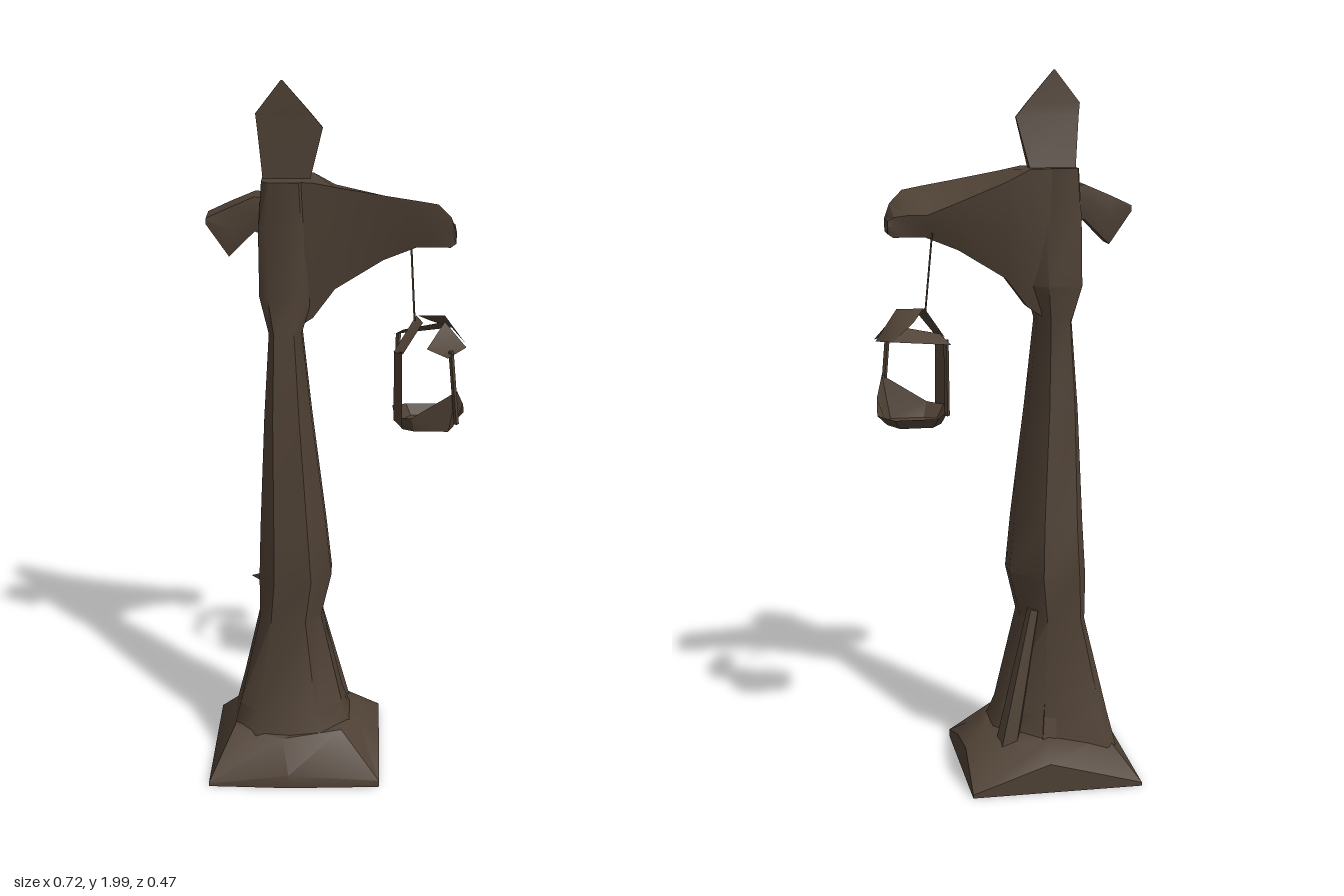
import * as THREE from 'three';
import { toCreasedNormals } from 'three/addons/utils/BufferGeometryUtils.js';

const wood = new THREE.MeshStandardMaterial({ color: 0x4e4034, side: THREE.DoubleSide });
wood.name = 'dark weathered wood';

// Skin a list of equal-length rings (counter-clockwise seen from the end), capped at both ends
function loft(rings, crease = 0.75) {
  const n = rings[0].length, pos = rings.flat(2), index = [];
  for (let r = 0; r < rings.length - 1; r++) {
    for (let i = 0; i < n; i++) {
      const a = r * n + i, b = r * n + (i + 1) % n;
      index.push(a, b, b + n, a, b + n, a + n);
    }
  }
  const last = (rings.length - 1) * n;
  for (let i = 1; i < n - 1; i++) index.push(0, i + 1, i, last, last + i, last + i + 1);
  const g = new THREE.BufferGeometry();
  g.setAttribute('position', new THREE.Float32BufferAttribute(pos, 3));
  g.setIndex(index);
  return toCreasedNormals(g, crease);
}

// Flat polygon in space, fanned from its first corner
function panel(pts) {
  const g = new THREE.BufferGeometry(), index = [];
  for (let i = 1; i < pts.length - 1; i++) index.push(0, i, i + 1);
  g.setAttribute('position', new THREE.Float32BufferAttribute(pts.flat(), 3));
  g.setIndex(index);
  g.computeVertexNormals();
  return g;
}

// Tapered stick between two points
function stick(a, b, r0, r1, sides = 4) {
  const A = new THREE.Vector3(...a), B = new THREE.Vector3(...b), d = B.clone().sub(A);
  const g = new THREE.CylinderGeometry(r1, r0, d.length(), sides);
  g.applyQuaternion(new THREE.Quaternion().setFromUnitVectors(new THREE.Vector3(0, 1, 0), d.normalize()));
  g.translate(...A.add(B).multiplyScalar(0.5).toArray());
  return toCreasedNormals(g, 0.5);
}

// Chamfered rectangular ring of the post; c sets how much corner is left, uneven between corners
function postRing([y, x0, x1, z0, z1, c]) {
  const cx = (x0 + x1) / 2, cz = (z0 + z1) / 2, w = (x1 - x0) / 2, d = (z1 - z0) / 2;
  const a = c - 0.25, b = c + 0.35, e = c + 0.12;
  return [[1, a], [a, 1], [-b, 1], [-1, b], [-1, -e], [-e, -1], [c, -1], [1, -c]]
    .map(([u, v]) => [cx + u * w, y, cz - v * d]);
}

// Six-cornered ring of an arm, running along +x; drop lowers its rear top edge
function armRing([x, top, bottom, wt, wm, wb, drop = 0, cz = 0]) {
  const mid = bottom + (top - bottom) * 0.55;
  return [[mid - drop / 2, -wm], [top - drop, -wt], [top, wt], [mid, wm], [bottom, wb], [bottom, -wb]]
    .map(([y, z]) => [x, y, cz + z]);
}

export function createModel() {
  const model = new THREE.Group();
  const add = (name, geometry, parent = model) => {
    const m = new THREE.Mesh(geometry, wood);
    m.name = name;
    parent.add(m);
  };

  // Uneven square base: thin corners, humped rear and side edges
  const outline = [[0.13, -0.1, 0.105], [0.13, -0.235, 0.02], [-0.09, -0.235, 0.095], [-0.355, -0.235, 0.02],
    [-0.36, 0.225, 0.02], [-0.13, 0.232, 0.05], [0.13, 0.22, 0.03], [0.13, 0.05, 0.085]];
  const mound = [[0.07, -0.05], [0.04, -0.13], [-0.1, -0.16], [-0.27, -0.13],
    [-0.29, 0.11], [-0.15, 0.16], [0.02, 0.13], [0.07, 0.05]];
  add('base', loft([
    outline.map(([x, z]) => [x, 0.01, z]),
    outline.map(([x, z, h]) => [x, h, z]),
    mound.map(([x, z], i) => [x, i % 2 ? 0.13 : 0.145, z]),
  ]));

  // Post: flared foot, knee, tapering shaft and widened head
  add('post', loft([
    [0.1, -0.3, 0.06, -0.165, 0.15, 0.5],
    [0.2, -0.275, 0.02, -0.15, 0.125, 0.5],
    [0.47, -0.215, -0.04, -0.105, 0.092, 0.5],
    [0.6, -0.215, -0.01, -0.12, 0.105, 0.45],
    [0.75, -0.21, -0.025, -0.095, 0.1, 0.45],
    [1.08, -0.195, -0.065, -0.08, 0.085, 0.5],
    [1.32, -0.18, -0.09, -0.055, 0.068, 0.55],
    [1.42, -0.205, -0.06, -0.075, 0.06, 0.55],
    [1.6, -0.205, -0.06, -0.055, 0.065, 0.6],
    [1.74, -0.195, -0.07, -0.06, 0.07, 0.6],
  ].map(postRing), 0.8));

  // Root ridges leaning on the rear of the foot
  [[0.015, -0.12, -0.07, -0.075], [-0.1, -0.14, -0.12, -0.09]].forEach(([x0, z0, x1, z1], i) =>
    add('rootRidge', stick([x0, 0.1, z0], [x1, 0.5 - 0.06 * i, z1], 0.035, 0.018, 5)));

  // Small splinter at the knee
  add('splinter', panel([[-0.2, 0.56, 0.02], [-0.24, 0.585, 0.02], [-0.2, 0.6, 0.03]]));

  // Long arm with a drooping tip
  add('longArm', loft([
    [-0.12, 1.74, 1.32, 0.06, 0.055, 0.03],
    [-0.06, 1.74, 1.36, 0.068, 0.06, 0.03],
    [0, 1.728, 1.44, 0.064, 0.055, 0.025, 0.02],
    [0.13, 1.705, 1.52, 0.058, 0.045, 0.02, 0.05],
    [0.22, 1.69, 1.557, 0.054, 0.045, 0.025, 0.07],
    [0.275, 1.68, 1.56, 0.05, 0.045, 0.035, 0.06],
    [0.31, 1.645, 1.56, 0.046, 0.045, 0.04, 0.03],
    [0.325, 1.605, 1.57, 0.04, 0.045, 0.035],
  ].map(armRing)));

  // Short arm on the opposite side
  add('shortArm', loft([
    [-0.345, 1.637, 1.62, 0.042, 0.044, 0.042, 0, -0.005],
    [-0.285, 1.665, 1.53, 0.043, 0.044, 0.035, 0, -0.005],
    [-0.215, 1.695, 1.6, 0.04, 0.045, 0.035, 0, -0.005],
    [-0.17, 1.69, 1.58, 0.04, 0.045, 0.035, 0, -0.005],
  ].map(armRing)));

  // Thin pointed finial, wedge-shaped towards the tip
  add('finial', loft([
    [1.73, -0.192, -0.068, -0.028, 0.012],
    [1.875, -0.206, -0.032, 0.003, 0.012],
    [1.912, -0.21, -0.062, 0.007, 0.013],
    [2, -0.142, -0.138, 0.012, 0.015],
  ].map(([y, x0, x1, z0, z1]) => [[x1, y, z1], [x1, y, z0], [x0, y, z0], [x0, y, z1]]), 0.4));

  // Hanging lantern
  const lantern = new THREE.Group();
  lantern.name = 'lantern';
  model.add(lantern);
  add('cord', stick([0.205, 1.57, -0.04], [0.217, 1.35, 0.02], 0.003, 0.003), lantern);

  // Broken roof: separate sloping boards round an open middle
  [
    [[0.165, 1.275, -0.105], [0.325, 1.29, -0.12], [0.29, 1.32, -0.065], [0.19, 1.3, -0.065]],
    [[0.325, 1.29, -0.12], [0.36, 1.275, -0.015], [0.3, 1.36, 0], [0.225, 1.36, 0], [0.26, 1.33, -0.055]],
    [[0.36, 1.275, 0.02], [0.305, 1.275, 0.12], [0.25, 1.285, 0.07], [0.3, 1.345, 0.01]],
    [[0.16, 1.27, 0.05], [0.185, 1.275, 0.085], [0.24, 1.345, 0.02], [0.222, 1.36, 0]],
  ].forEach(p => add('roofBoard', panel(p), lantern));

  // Surviving corner posts: one wide board and two slivers
  add('lanternBoard', panel([[0.162, 1.07, 0.04], [0.185, 1.06, 0.075], [0.183, 1.28, 0.08], [0.162, 1.27, 0.045]]), lantern);
  [[0.17, -0.06, 0.175, -0.08, 0.007], [0.335, 0.07, 0.315, 0.085, 0.007]].forEach(([x0, z0, x1, z1, r]) =>
    add('lanternPost', stick([x0, 1.07, z0], [x1, 1.285, z1], r, r), lantern));

  // Shallow tray with a raised front corner
  const tray = [[0.36, -0.03], [0.32, -0.1], [0.2, -0.1], [0.16, -0.04],
    [0.165, 0.045], [0.21, 0.07], [0.335, 0.07], [0.355, 0.02]];
  const rim = [1.07, 1.07, 1.07, 1.085, 1.08, 1.085, 1.165, 1.11];
  const floor = tray.map(([x, z]) => [0.25 + (x - 0.25) * 0.75, 1.042, z * 0.8]);
  add('trayFloor', panel([...floor].reverse()), lantern);
  tray.forEach(([x, z], i) => {
    const j = (i + 1) % 8, [u, v] = tray[j];
    add('traySide', panel([floor[j], floor[i], [x, rim[i], z], [u, rim[j], v]]), lantern);
  });

  return model;
}
